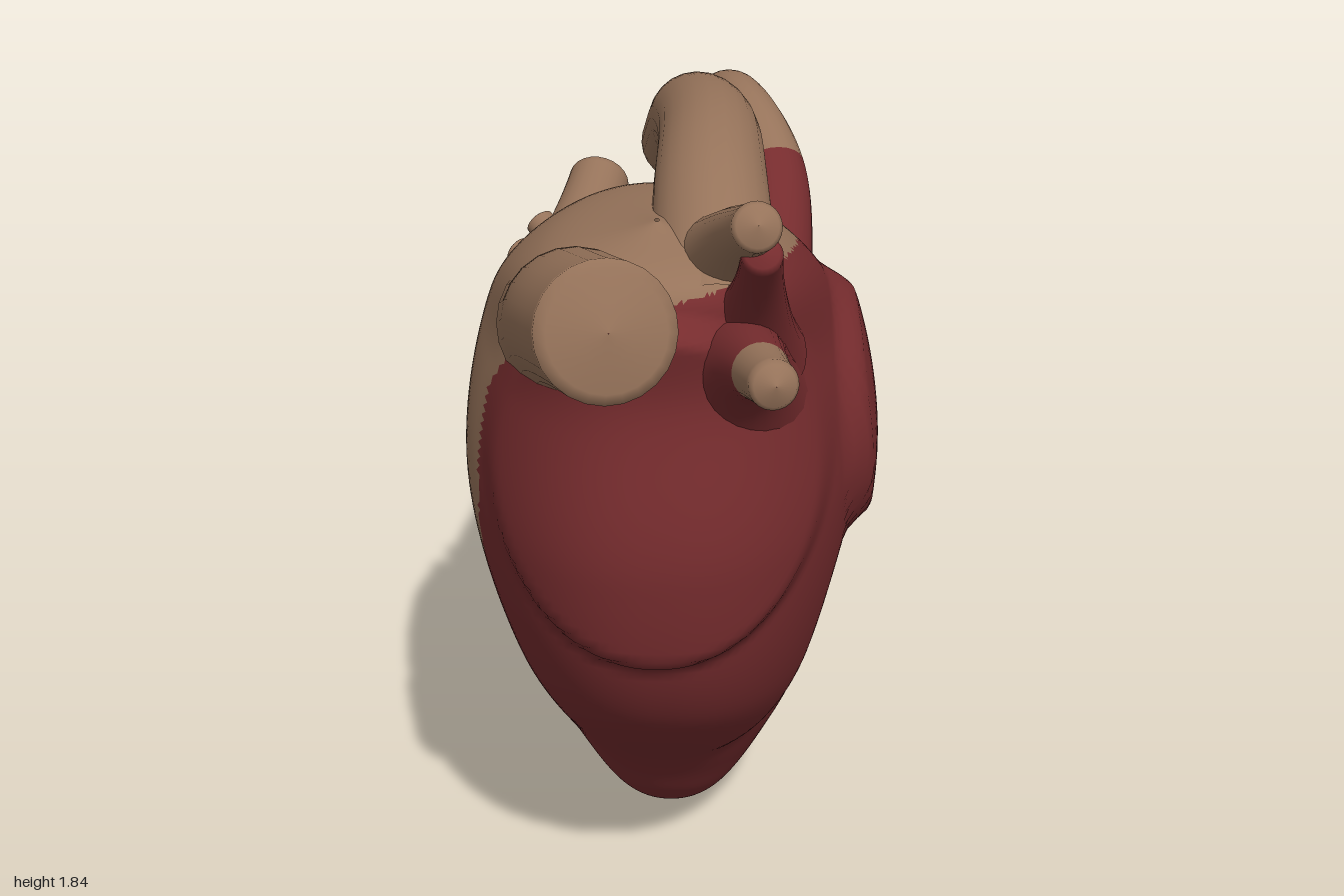
import * as THREE from 'three';
import { mergeVertices } from 'three/addons/utils/BufferGeometryUtils.js';

const { smoothstep: smooth, lerp } = THREE.MathUtils;

// Body sections from tip to top: height, half width, back z, front z
const SECTIONS = [
  [0, 0.005, -0.085, -0.075], [0.015, 0.075, -0.15, -0.01], [0.08, 0.15, -0.225, 0.06], [0.25, 0.245, -0.33, 0.2],
  [0.6, 0.38, -0.475, 0.59], [1, 0.455, -0.53, 0.7], [1.36, 0.39, -0.44, 0.64], [1.58, 0.25, -0.14, 0.65],
  [1.67, 0.005, 0.41, 0.43]];

// Diagonal colour border that sweeps forward near the top, with two stray red patches on the right side
const isTan = (x, y, z) =>
  x + 0.8 * z < -0.15 - 0.24 * Math.max(0, 1 - y) + 5 * Math.max(0, y - 1.2) ** 2 &&
  (x > 0 || (Math.hypot(y - 0.945, z + 0.18) > 0.06 && Math.hypot(y - 0.685, z + 0.2) > 0.035));

function bodyGeometry() {
  const rows = 144, cols = 144;
  const curveOf = (k) => new THREE.CatmullRomCurve3(
    SECTIONS.map((s) => new THREE.Vector3(s[0], s[1], s[k])), false, 'catmullrom');
  const backCurve = curveOf(2), frontCurve = curveOf(3);
  const pos = [], red = [], tan = [];
  for (let i = 0; i <= rows; i++) {
    const { x: y, y: width, z: back } = backCurve.getPoint(i / rows);
    const front = frontCurve.getPoint(i / rows).z;
    const mid = -0.08 + 0.5 * smooth(y, 1.3, 1.67);
    for (let j = 0; j < cols; j++) {
      const t = j / cols * Math.PI * 2, c = Math.cos(t), s = Math.sin(t);
      // slightly squared ovals
      let x = width * Math.sign(c) * Math.abs(c) ** 0.88 - 0.02 * smooth(y, 0.2, 1);
      let z = mid + (s > 0 ? front - mid : mid - back) * s;
      // front bulge with a creased lower rim
      if (s > 0) {
        const e = Math.hypot((x + 0.02) / 0.39, (y - 1.16) / 0.4);
        z += 0.06 * smooth(1 - e, 0, 0.13) * smooth(s, 0.1, 0.6);
      }
      if (c > 0) {
        // pouch on the left side
        const e = Math.hypot((z + 0.08) / 0.36, (y - 1.09) / 0.32);
        x += 0.048 * smooth(1 - e, 0, 0.22) * smooth(c, 0.1, 0.5);
        // groove between the two lower chambers
        const g = (z - 0.2 + (y - 0.3) * 0.1) / 0.07;
        x -= 0.02 * Math.exp(-g * g) * smooth(y, 0.1, 0.3) * (1 - smooth(y, 0.65, 0.85));
      }
      pos.push(x, y, z);
    }
  }
  const addFace = (...v) => {
    const m = [0, 1, 2].map((k) => v.reduce((sum, a) => sum + pos[a * 3 + k], 0) / 3);
    (isTan(...m) ? tan : red).push(...v);
  };
  for (let i = 0; i < rows; i++) {
    for (let j = 0; j < cols; j++) {
      const a = i * cols + j, b = i * cols + (j + 1) % cols;
      addFace(a, a + cols, b);
      addFace(b, a + cols, b + cols);
    }
  }
  const g = new THREE.BufferGeometry();
  g.setAttribute('position', new THREE.Float32BufferAttribute(pos, 3));
  g.setIndex([...red, ...tan]);
  g.addGroup(0, red.length, 0);
  g.addGroup(red.length, tan.length, 1);
  g.computeVertexNormals();
  return g;
}

// Vessel that narrows from its root to a blunt end; the first redPart of it is muscle-coloured
function vesselGeometry(points, rootRadius, endRadius, redPart) {
  const seg = 48, sides = 24;
  const curve = new THREE.CatmullRomCurve3(points.map((p) => new THREE.Vector3(...p)));
  let g = new THREE.TubeGeometry(curve, seg, 1, sides);
  const p = g.attributes.position, v = new THREE.Vector3();
  for (let i = 0; i <= seg; i++) {
    const centre = curve.getPointAt(i / seg);
    let r = lerp(endRadius, rootRadius, (1 - i / seg) ** 2);
    if (i === seg) r = 0.0005;
    else if (i === seg - 1) r *= 0.84;
    for (let j = 0; j <= sides; j++) {
      const n = i * (sides + 1) + j;
      v.fromBufferAttribute(p, n).sub(centre).multiplyScalar(r).add(centre);
      p.setXYZ(n, v.x, v.y, v.z);
    }
  }
  g.deleteAttribute('uv');
  g.deleteAttribute('normal');
  g = mergeVertices(g, 1e-5);
  const split = Math.round(seg * redPart) * sides * 6;
  g.clearGroups();
  g.addGroup(0, split, 0);
  g.addGroup(split, g.index.count - split, 1);
  g.computeVertexNormals();
  return g;
}

export function createModel() {
  const red = new THREE.MeshStandardMaterial({ color: 0x762c2e });
  red.name = 'muscleRed';
  const tan = new THREE.MeshStandardMaterial({ color: 0x96735a });
  tan.name = 'vesselTan';
  const model = new THREE.Group();
  model.name = 'heart';
  const add = (name, geometry) => {
    const mesh = new THREE.Mesh(geometry, [red, tan]);
    mesh.name = name;
    model.add(mesh);
  };
  const vessel = (name, rootRadius, endRadius, redPart, ...points) =>
    add(name, vesselGeometry(points, rootRadius, endRadius, redPart));

  add('heartBody', bodyGeometry());

  // long arch running from front to back
  vessel('archVessel', 0.14, 0.1, 0,
    [0.1, 1.48, 0.55], [0.09, 1.66, 0.22], [0.085, 1.705, -0.08], [0.05, 1.65, -0.45], [0.005, 1.44, -0.95]);
  // broad vessel opening to the front
  vessel('frontVessel', 0.16, 0.135, 0, [-0.2, 1.42, 0.35], [-0.17, 1.54, 0.65], [-0.095, 1.635, 0.98]);
  // two small front branches with muscle-coloured roots
  vessel('upperBranch', 0.12, 0.048, 0, [0.1, 1.55, 0.38], [0.14, 1.695, 0.62], [0.175, 1.8, 0.86]);
  vessel('upperBranchRoot', 0.13, 0.04, 1, [0.16, 1.4, 0.45], [0.18, 1.58, 0.63], [0.185, 1.73, 0.79]);
  vessel('lowerBranch', 0.22, 0.048, 0.78, [0.11, 1.27, 0.4], [0.16, 1.46, 0.68], [0.21, 1.525, 0.96]);
  // side vessel climbing onto the arch
  vessel('sideVessel', 0.11, 0.062, 0.35,
    [0.22, 1.26, -0.12], [0.235, 1.53, -0.35], [0.15, 1.65, -0.6], [0.06, 1.5, -0.99]);
  // vessel leaving the back
  vessel('backVessel', 0.19, 0.076, 0, [-0.25, 1.15, -0.15], [-0.24, 1.28, -0.45], [-0.19, 1.415, -0.77]);
  // two short stubs on the upper back
  vessel('innerStub', 0.06, 0.035, 0, [-0.22, 1.34, -0.22], [-0.32, 1.43, -0.33]);
  vessel('outerStub', 0.06, 0.03, 0, [-0.27, 1.33, -0.17], [-0.37, 1.39, -0.24]);
  return model;
}
